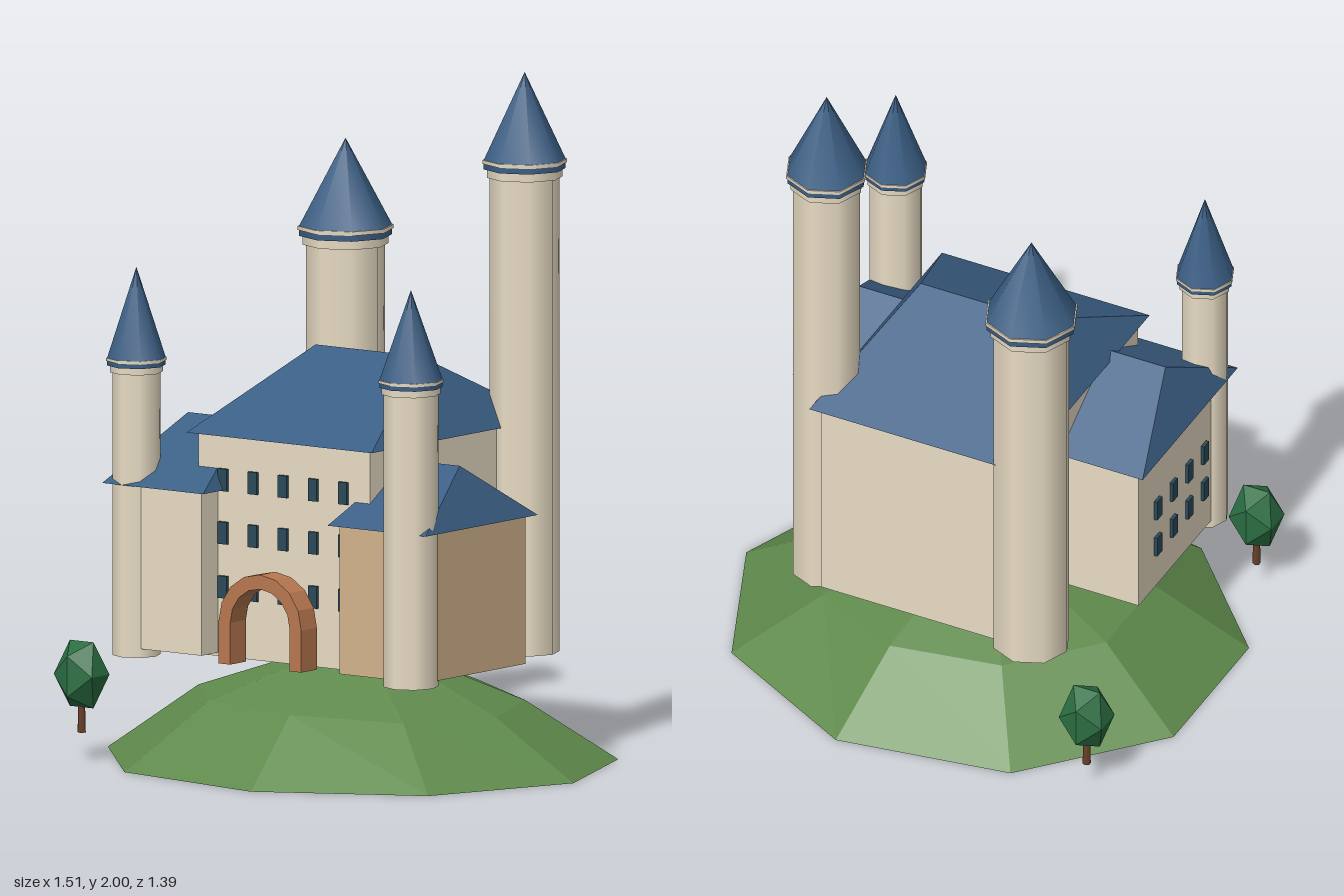
import * as THREE from 'three';

const paint = (color, flatShading = false) => {
  const m = new THREE.MeshStandardMaterial({ flatShading });
  m.color.set(color);
  return m;
};
const stone = paint(0xe8dcc4), tan = paint(0xd2b48c), slate = paint(0x3b5f85);
const slateFlat = paint(0x3b5f85, true), glass = paint(0x2c4a5a), brick = paint(0xb87850, true);
const grass = paint(0x5f8a4c, true), leaf = paint(0x2a6e42, true), bark = paint(0x6b402a);

function add(parent, name, geometry, material, x = 0, y = 0, z = 0) {
  const mesh = new THREE.Mesh(geometry, material);
  mesh.name = name;
  mesh.position.set(x, y, z);
  parent.add(mesh);
  return mesh;
}

// Hipped roof: a rectangle of eaves rising to a shorter ridge along x
function hipRoof(halfX, halfZ, halfRidge, height) {
  const g = new THREE.BufferGeometry();
  g.setAttribute('position', new THREE.Float32BufferAttribute([
    -halfX, 0, halfZ, halfX, 0, halfZ, halfX, 0, -halfZ, -halfX, 0, -halfZ,
    -halfRidge, height, 0, halfRidge, height, 0,
  ], 3));
  g.setIndex([0, 1, 5, 0, 5, 4, 1, 2, 5, 2, 3, 4, 2, 4, 5, 3, 0, 4, 0, 3, 2, 0, 2, 1]);
  const flat = g.toNonIndexed();
  flat.computeVertexNormals();
  return flat;
}

// Block of walls under an overhanging hipped roof
function building(name, material, { x, z, halfX, halfZ, base, eave, ridge, halfRidge }) {
  const group = new THREE.Group();
  group.name = name;
  const over = 0.025;
  const walls = new THREE.BoxGeometry((halfX - over) * 2, eave - base, (halfZ - over) * 2);
  add(group, 'walls', walls, material, x, (base + eave) / 2, z);
  add(group, 'roof', hipRoof(halfX, halfZ, halfRidge, ridge - eave), slateFlat, x, eave, z);
  return group;
}

// Eight-sided tower with a banded collar and a pointed roof
function tower(name, { x, z, r, roofR, top, cone, apex }) {
  const group = new THREE.Group();
  group.name = name;
  group.position.set(x, 0, z);
  const base = 0.307, band = cone - top;
  const drum = (part, radius, y0, y1, material) =>
    add(group, part, new THREE.CylinderGeometry(radius, radius, y1 - y0, 8), material, 0, (y0 + y1) / 2);
  drum('shaft', r, base, top, stone);
  drum('collar', r + (roofR - r) * 0.4, top - 0.002, top + band * 0.45, stone);
  drum('lowerBand', roofR * 0.97, top + band * 0.45, top + band * 0.78, slate);
  drum('upperBand', roofR, top + band * 0.78, cone, stone);
  add(group, 'spire', new THREE.ConeGeometry(roofR * 0.97, apex - cone, 8), slate, 0, (cone + apex) / 2);
  return group;
}

function hill() {
  const profile = [[0, 0], [1, 0], [0.64, 0.195], [0.14, 0.325], [0, 0.325]];
  const g = new THREE.LatheGeometry(profile.map(([r, y]) => new THREE.Vector2(r, y)), 9, Math.PI / 2);
  const p = g.attributes.position;
  // The shoulder dips toward one side
  for (let i = 0; i < p.count; i++) {
    if (Math.abs(p.getY(i) - 0.195) < 0.001) p.setY(i, 0.195 - 0.045 * Math.max(0, p.getX(i)));
  }
  return g;
}

function archway() {
  const outer = 0.15, inner = 0.108, spring = 0.122;
  const s = new THREE.Shape();
  s.moveTo(outer, 0);
  s.lineTo(outer, spring);
  const n = 8;
  for (let i = 1; i <= n; i++) {
    const a = (i / n) * Math.PI;
    s.lineTo(outer * Math.cos(a), spring + outer * Math.sin(a));
  }
  s.lineTo(-outer, 0);
  s.lineTo(-inner, 0);
  for (let i = n; i >= 0; i--) {
    const a = (i / n) * Math.PI;
    s.lineTo(inner * Math.cos(a), spring + inner * Math.sin(a));
  }
  s.lineTo(inner, 0);
  return new THREE.ExtrudeGeometry(s, { depth: 0.075, bevelEnabled: false });
}

function tree(x, z) {
  const group = new THREE.Group();
  group.name = 'tree';
  group.position.set(x, 0, z);
  add(group, 'trunk', new THREE.CylinderGeometry(0.009, 0.012, 0.12, 6), bark, 0, 0.145);
  add(group, 'foliage', new THREE.IcosahedronGeometry(0.081, 0), leaf, 0, 0.255).scale.y = 1.4;
  return group;
}

export function createModel() {
  const model = new THREE.Group();
  model.name = 'castle';

  add(model, 'hill', hill(), grass, -0.026).scale.set(0.776, 1, 0.706);

  // Keep and its two wings
  model.add(
    building('keep', stone, {
      x: -0.025, z: -0.04, halfX: 0.336, halfZ: 0.425, base: 0.323, eave: 0.97, ridge: 1.19, halfRidge: 0.19,
    }),
    building('rightWing', stone, {
      x: -0.423, z: 0.16, halfX: 0.183, halfZ: 0.305, base: 0.333, eave: 0.81, ridge: 0.988, halfRidge: 0.103,
    }),
    building('leftWing', tan, {
      x: 0.382, z: 0.187, halfX: 0.178, halfZ: 0.268, base: 0.323, eave: 0.757, ridge: 0.925, halfRidge: 0.098,
    }),
  );

  // Corner towers
  model.add(
    tower('backRightTower', { x: -0.365, z: -0.38, r: 0.115, roofR: 0.14, top: 1.432, cone: 1.485, apex: 1.74 }),
    tower('backLeftTower', { x: 0.323, z: -0.33, r: 0.102, roofR: 0.123, top: 1.695, cone: 1.745, apex: 2.0 }),
    tower('frontRightTower', { x: -0.535, z: 0.395, r: 0.07, roofR: 0.088, top: 1.135, cone: 1.175, apex: 1.44 }),
    tower('frontLeftTower', { x: 0.475, z: 0.413, r: 0.08, roofR: 0.095, top: 1.163, cone: 1.203, apex: 1.465 }),
  );

  // Windows on the front of the keep
  for (const y of [0.527, 0.685, 0.84]) {
    for (let i = -2; i <= 2; i++) {
      add(model, 'keepWindow', new THREE.BoxGeometry(0.032, 0.065, 0.02), glass, -0.025 + i * 0.109, y, 0.36);
    }
  }
  // Windows on the outer side of the right wing
  for (const y of [0.48, 0.61]) {
    for (let i = 0; i < 4; i++) {
      add(model, 'wingWindow', new THREE.BoxGeometry(0.02, 0.065, 0.032), glass, -0.581, y, -0.005 + i * 0.1);
    }
  }

  add(model, 'archway', archway(), brick, -0.026, 0.323, 0.4);
  model.add(tree(-0.64, -0.57), tree(-0.64, 0.518));
  return model;
}
